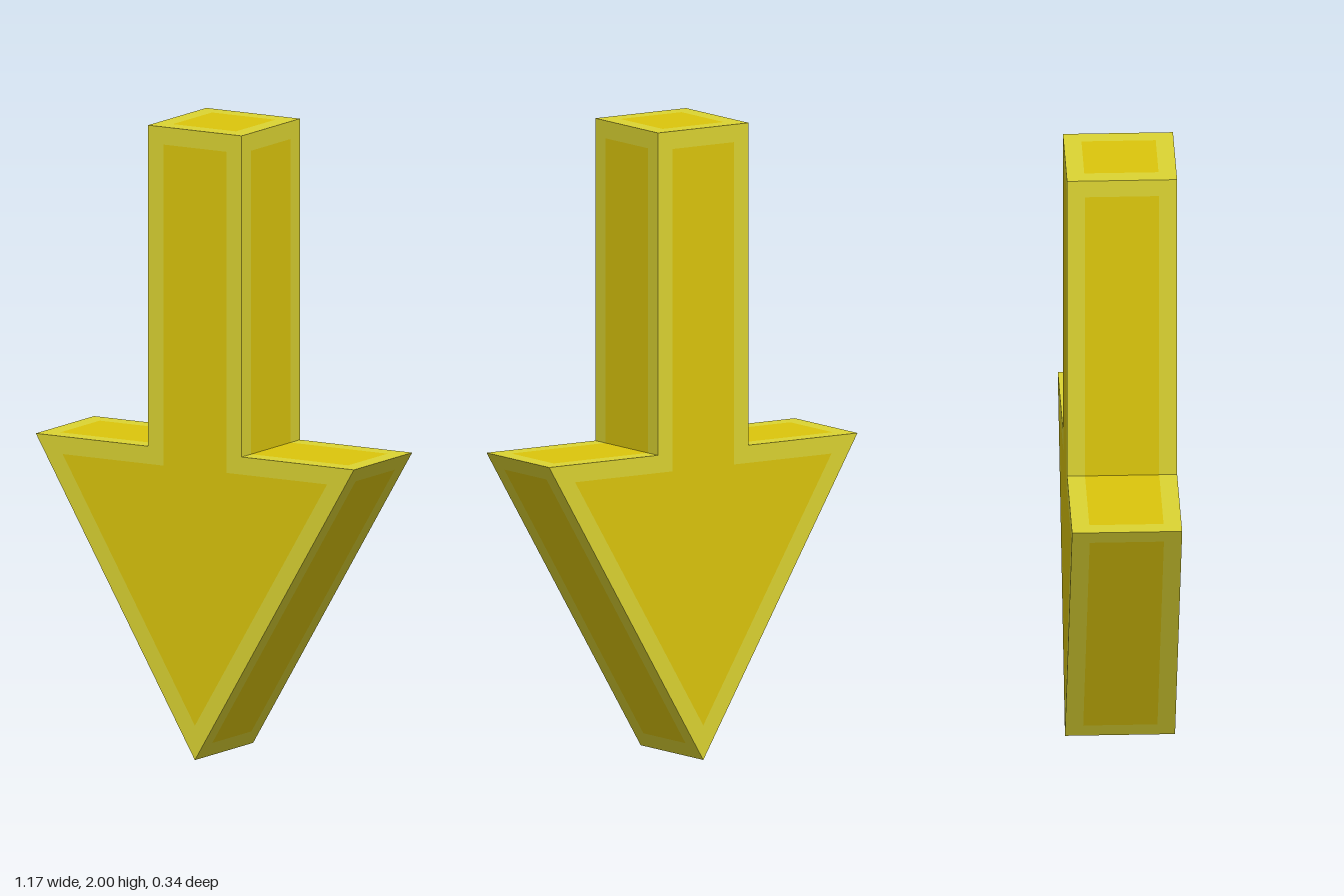
import * as THREE from 'three';

const gold = new THREE.MeshStandardMaterial({ color: 0xdcc60c });
const pale = new THREE.MeshStandardMaterial({ color: 0xdcd432 });
const D = 0.172; // half depth
const B = 0.056; // border width

const toPoints = (list) => list.map(([x, y]) => new THREE.Vector2(x, y));

// Flat panel: a pale border flush with a gold field
function panel(name, border, field, matrix) {
  const group = new THREE.Group();
  group.name = name;
  for (const [part, shape, material] of [['Border', border, pale], ['Field', field, gold]]) {
    const geometry = new THREE.ShapeGeometry(shape).applyMatrix4(matrix);
    const mesh = new THREE.Mesh(geometry, material);
    mesh.name = name + part;
    group.add(mesh);
  }
  return group;
}

// Moves every edge of a counter-clockwise outline inwards by d
function inset(points, d) {
  const n = points.length;
  return points.map((p, i) => {
    const a = p.clone().sub(points[(i + n - 1) % n]).normalize();
    const b = points[(i + 1) % n].clone().sub(p).normalize();
    const na = new THREE.Vector2(-a.y, a.x);
    const nb = new THREE.Vector2(-b.y, b.x);
    const k = d / (1 + na.dot(nb));
    return p.clone().add(na.add(nb).multiplyScalar(k));
  });
}

// Border and field of an edge strip; the border is left out on an open end
function stripShapes(length, open) {
  const s0 = open === 'start' ? 0 : B;
  const s1 = open === 'end' ? length : length - B;
  const w = D - B;
  const field = new THREE.Shape(toPoints([[s0, -w], [s1, -w], [s1, w], [s0, w]]));
  let border;
  if (open === 'end') {
    border = new THREE.Shape(toPoints([[0, -D], [length, -D], [length, -w], [B, -w],
      [B, w], [length, w], [length, D], [0, D]]));
  } else if (open === 'start') {
    border = new THREE.Shape(toPoints([[0, -D], [length, -D], [length, D], [0, D],
      [0, w], [s1, w], [s1, -w], [0, -w]]));
  } else {
    border = new THREE.Shape(toPoints([[0, -D], [length, -D], [length, D], [0, D]]));
    border.holes.push(new THREE.Path(field.getPoints().reverse()));
  }
  return [border, field];
}

export function createModel() {
  const arrow = new THREE.Group();
  arrow.name = 'downArrow';

  const outline = toPoints([[0, 0], [0.585, 0.98], [0.172, 0.98], [0.172, 2],
    [-0.172, 2], [-0.172, 0.98], [-0.585, 0.98]]);

  // Front and back faces
  const inner = inset(outline, B);
  const border = new THREE.Shape(outline);
  border.holes.push(new THREE.Path(inner.slice().reverse()));
  const field = new THREE.Shape(inner);
  const front = new THREE.Matrix4().makeTranslation(0, 0, D);
  const back = new THREE.Matrix4().makeRotationY(Math.PI).multiply(front);
  arrow.add(panel('frontFace', border, field, front), panel('backFace', border, field, back));

  // One strip per outline edge, open where the shoulders meet the shaft
  const strips = [['leftSlope'], ['leftShoulder', 'end'], ['shaftLeft', 'start'], ['shaftTop'],
    ['shaftRight', 'end'], ['rightShoulder', 'start'], ['rightSlope']];
  strips.forEach(([name, open], i) => {
    const p = outline[i];
    const along = outline[(i + 1) % outline.length].clone().sub(p);
    const length = along.length();
    along.normalize();
    const matrix = new THREE.Matrix4().makeBasis(
      new THREE.Vector3(along.x, along.y, 0),
      new THREE.Vector3(0, 0, 1),
      new THREE.Vector3(along.y, -along.x, 0),
    ).setPosition(p.x, p.y, 0);
    arrow.add(panel(name, ...stripShapes(length, open), matrix));
  });

  return arrow;
}
